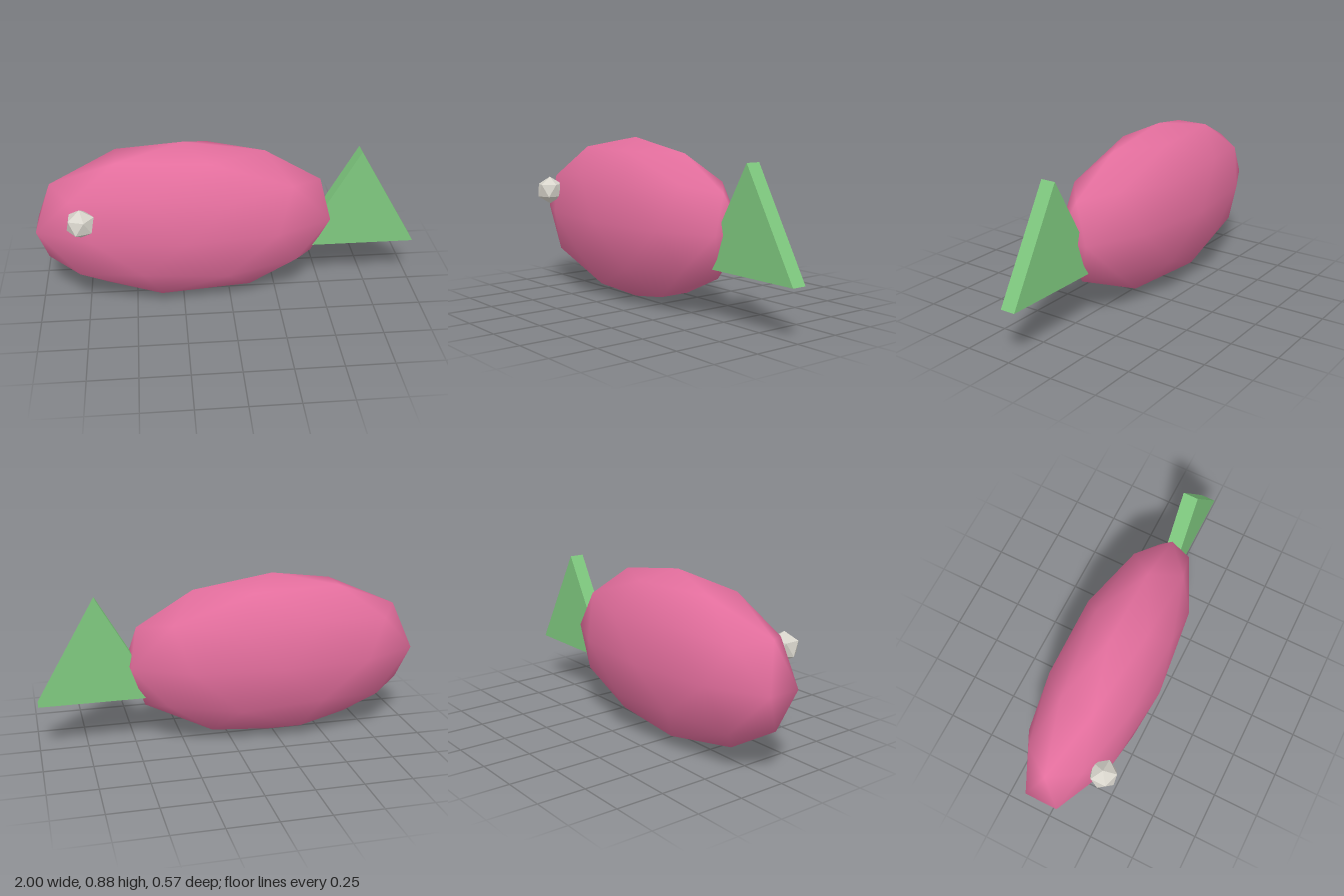
import * as THREE from 'three';
import { mergeVertices } from 'three/addons/utils/BufferGeometryUtils.js';

// Icosphere standing on a vertex, with an upper-ring corner towards +x
function icosphere(detail) {
  const ringY = 1 / Math.sqrt(5), ringR = 2 / Math.sqrt(5);
  const verts = [0, 1, 0, 0, -1, 0];
  const faces = [];
  for (let k = 0; k < 5; k++) {
    const a = k * Math.PI * 0.4, b = a + Math.PI * 0.2;
    verts.push(ringR * Math.cos(a), ringY, -ringR * Math.sin(a));
    verts.push(ringR * Math.cos(b), -ringY, -ringR * Math.sin(b));
    const n = (k + 1) % 5;
    const u = 2 + 2 * k, l = u + 1, u2 = 2 + 2 * n, l2 = u2 + 1;
    faces.push(0, u, u2, u, l, u2, l, l2, u2, 1, l2, l);
  }
  return new THREE.PolyhedronGeometry(verts, faces, 1, detail);
}

export function createModel() {
  const model = new THREE.Group();
  model.name = 'fish';
  const material = (name, color, flatShading = false) => {
    const m = new THREE.MeshStandardMaterial({ color, flatShading });
    m.name = name;
    return m;
  };
  const add = (name, geometry, mat, x, y, z) => {
    const mesh = new THREE.Mesh(geometry, mat);
    mesh.name = name;
    mesh.position.set(x, y, z);
    model.add(mesh);
  };

  // Body: smooth, flattened ellipsoid
  let body = icosphere(1);
  body.deleteAttribute('uv');
  body.deleteAttribute('normal');
  body = mergeVertices(body, 1e-4);
  body.scale(0.803, 0.44, 0.281);
  body.computeVertexNormals();
  add('body', body, material('pink', 0xe36e9d), -0.237, 0.445, -0.006);

  // Tail: triangular prism pointing up, its left corner buried in the body
  const tail = new THREE.CylinderGeometry(0.36, 0.36, 0.08, 3);
  tail.rotateX(-Math.PI / 2);
  add('tail', tail, material('green', 0x7fc97f, true), 0.685, 0.445, -0.006);

  // Single faceted eye on the front side
  const eye = icosphere(0).scale(0.077, 0.077, 0.077);
  add('eye', eye, material('lightGrey', 0xd8d5cc, true), -0.76, 0.565, 0.222);

  return model;
}
